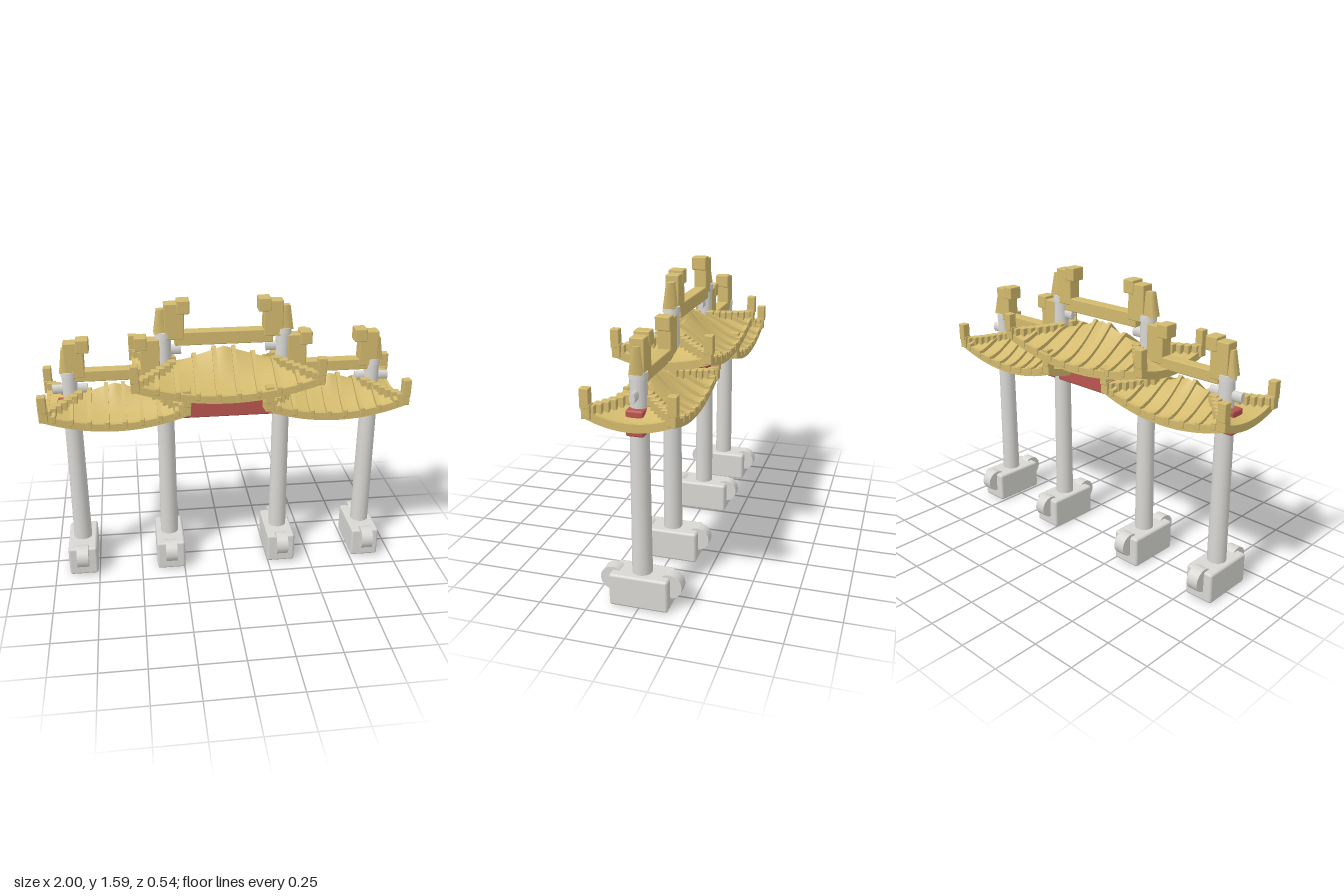
import * as THREE from 'three';
import { RoundedBoxGeometry } from 'three/addons/geometries/RoundedBoxGeometry.js';

export function createModel() {
  const stone = new THREE.MeshStandardMaterial({ color: 0xd8d7d3 });
  const red = new THREE.MeshStandardMaterial({ color: 0xb9554f });
  const gold = new THREE.MeshStandardMaterial({ color: 0xd2b96d, side: THREE.DoubleSide });
  const model = new THREE.Group();
  model.name = 'ceremonialGate';

  const add = (parent, name, geo, mat, x = 0, y = 0, z = 0) => {
    const m = new THREE.Mesh(geo, mat);
    m.name = name;
    m.position.set(x, y, z);
    parent.add(m);
    return m;
  };
  // box given by its ranges
  const block = (parent, name, mat, x0, x1, y0, y1, z0, z1, r = 0.006) =>
    add(parent, name, new RoundedBoxGeometry(Math.abs(x1 - x0), y1 - y0, z1 - z0, 1, r), mat,
      (x0 + x1) / 2, (y0 + y1) / 2, (z0 + z1) / 2);

  // grid surface from a function of two parameters
  const surface = (fn, nu, nv) => {
    const pos = [], idx = [];
    for (let j = 0; j <= nv; j++) for (let i = 0; i <= nu; i++) pos.push(...fn(i / nu, j / nv));
    for (let j = 0; j < nv; j++) for (let i = 0; i < nu; i++) {
      const a = j * (nu + 1) + i, b = a + 1, c = a + nu + 1, d = c + 1;
      idx.push(a, b, d, a, d, c);
    }
    const g = new THREE.BufferGeometry();
    g.setAttribute('position', new THREE.Float32BufferAttribute(pos, 3));
    g.setIndex(idx);
    g.computeVertexNormals();
    return g;
  };

  // upright rectangular bar following a path, closed at both ends
  const bar = (pts, w, y0, y1) => {
    const pos = [], idx = [];
    const n = pts.length;
    pts.forEach((p, i) => {
      const a = pts[Math.max(0, i - 1)], b = pts[Math.min(n - 1, i + 1)];
      const dx = b[0] - a[0], dz = b[2] - a[2], l = Math.hypot(dx, dz);
      const sx = -dz / l * w / 2, sz = dx / l * w / 2;
      for (const [s, y] of [[-1, y0], [1, y0], [1, y1], [-1, y1]])
        pos.push(p[0] + s * sx, p[1] + y, p[2] + s * sz);
    });
    for (let i = 0; i < n - 1; i++) for (let k = 0; k < 4; k++) {
      const a = i * 4 + k, b = i * 4 + (k + 1) % 4;
      idx.push(a, b, b + 4, a, b + 4, a + 4);
    }
    const e = (n - 1) * 4;
    idx.push(0, 2, 1, 0, 3, 2, e, e + 1, e + 2, e, e + 2, e + 3);
    const g = new THREE.BufferGeometry();
    g.setAttribute('position', new THREE.Float32BufferAttribute(pos, 3));
    g.setIndex(idx);
    const flat = g.toNonIndexed();
    flat.computeVertexNormals();
    return flat;
  };

  // columns with plinths and drum stones
  for (const [x, top] of [[-0.84, 1.22], [-0.327, 1.42], [0.327, 1.42], [0.84, 1.22]]) {
    const g = new THREE.Group();
    g.name = 'column';
    g.position.x = x;
    model.add(g);
    block(g, 'plinth', stone, -0.082, 0.082, 0, 0.175, -0.155, 0.155, 0.014);
    for (const s of [-1, 1]) {
      const drum = add(g, 'drumStone', new THREE.CylinderGeometry(0.065, 0.065, 0.066, 16), stone, 0, 0.125, s * 0.15);
      drum.rotation.z = Math.PI / 2;
    }
    add(g, 'shaft', new THREE.CylinderGeometry(0.047, 0.052, 0.87, 20), stone, 0, 0.595);
    add(g, 'upperShaft', new THREE.CylinderGeometry(0.041, 0.043, top - 1.0, 16), stone, 0, (top + 1.0) / 2);
    add(g, 'cap', new THREE.CylinderGeometry(0.044, 0.046, 0.03, 16), stone, 0, top - 0.015);
    const pin = add(g, 'crossPin', new THREE.CylinderGeometry(0.027, 0.027, 0.19, 10), stone, 0, top - 0.105);
    pin.rotation.z = Math.PI / 2;
    pin.scale.z = 0.55;
    // tapered finial foot on the column top
    const foot = add(g, 'finialFoot', new THREE.CylinderGeometry(0.035, 0.06, 0.13, 4).rotateY(Math.PI / 4),
      gold, Math.sign(x) * 0.008, top + 0.06);
    foot.scale.z = 0.75;
  }

  // beams
  block(model, 'crossBeam', red, -0.915, 0.915, 0.92, 1.05, -0.045, 0.045, 0.01);
  block(model, 'upperBeam', gold, -0.33, 0.33, 1.045, 1.115, -0.04, 0.04);

  // ridge bars and their end ornaments
  const ridge = (x0, x1, y0, y1, inward0, inward1) => {
    block(model, 'ridgeBar', gold, x0, x1, y0, y1, -0.034, 0.034);
    for (const [x, d] of [[x0, inward0], [x1, inward1]]) {
      block(model, 'ridgeOrnament', gold, x - 0.053, x + 0.053, y1 - 0.04, y1 + 0.158, -0.036, 0.036);
      block(model, 'ornamentCrest', gold, x + d * 0.015, x + d * 0.083, y1 + 0.1, y1 + 0.174, -0.04, 0.04);
    }
  };
  ridge(-0.268, 0.268, 1.345, 1.42, 1, -1);
  ridge(-0.808, -0.402, 1.162, 1.225, 1, -1);
  ridge(0.402, 0.808, 1.162, 1.225, 1, -1);

  // curved hip roof
  const roof = (cx, o) => {
    const g = new THREE.Group();
    g.name = 'roof';
    g.position.x = cx;
    model.add(g);
    const { hx, hz, run } = o;
    const mix = (low, high, t) => low + (high - low) * Math.pow(t, 1.6);
    const front = (u, t) => [u * (hx - t * run),
      mix(o.front + (o.corner - o.front) * u * u, o.peak + (o.ridgeEnd - o.peak) * Math.abs(u), t), hz * (1 - t)];
    const end = (v, t) => [hx - t * run,
      mix(o.end + (o.corner - o.end) * v * v, o.ridgeEnd, t), -v * hz * (1 - t)];
    const line = (f, n = 20) => Array.from({ length: n + 1 }, (_, i) => f(i / n));

    for (const turn of [0, Math.PI]) {
      const half = new THREE.Group();
      half.name = 'roofHalf';
      half.rotation.y = turn;
      g.add(half);
      add(half, 'mainSlope', surface((a, b) => front(a * 2 - 1, b), 24, 10), gold);
      add(half, 'endSlope', surface((a, b) => end(a * 2 - 1, b), 12, 10), gold);
      add(half, 'mainEave', bar(line(a => front(a * 2.04 - 1.02, 0)), 0.02, -0.036, 0.006), gold);
      add(half, 'endEave', bar(line(a => end(a * 2.04 - 1.02, 0)), 0.02, -0.036, 0.006), gold);

      // tile ribs running down the slope
      for (let k = 0; k < 4; k++) for (const s of [-1, 1]) {
        const x = s * (k + 0.5) * o.pitch;
        const tMax = Math.min(1, (hx - Math.abs(x)) / run);
        add(half, 'tileRib', bar(line(a => front(x / Math.max(hx - a * tMax * run, 0.01), a * tMax), 8),
          0.022, -0.012, 0.02), gold);
        const e = front(x / hx, 0);
        block(half, 'tileEnd', gold, x - 0.013, x + 0.013, e[1] - 0.02, e[1] + 0.02, e[2] - 0.02, e[2] + 0.015, 0.004);
      }
      // stepped hip blocks and corner figures
      for (const s of [-1, 1]) {
        for (let i = 0; i < 7; i++) {
          const [x, y, z] = front(s, 0.08 + i * 0.125);
          block(half, 'hipBlock', gold, x - 0.024, x + 0.024, y - 0.02, y + 0.032, z - 0.022, z + 0.022, 0.004);
        }
        const [x, y, z] = front(s, 0);
        block(half, 'cornerFigure', gold, x + s * -0.02, x + s * 0.025, y + 0.02, y + 0.118, z - 0.02, z + 0.026, 0.004);
        block(half, 'cornerFoot', gold, x - 0.024, x + 0.024, y - 0.03, y + 0.04, z - 0.024, z + 0.02, 0.004);
      }
    }
  };
  roof(0, { hx: 0.49, hz: 0.242, run: 0.24, front: 1.127, end: 1.165, corner: 1.208, peak: 1.325, ridgeEnd: 1.245, pitch: 0.108 });
  for (const s of [-1, 1])
    roof(s * 0.6, { hx: 0.375, hz: 0.208, run: 0.215, front: 0.982, end: 1.005, corner: 1.048, peak: 1.138, ridgeEnd: 1.09, pitch: 0.093 });

  return model;
}
